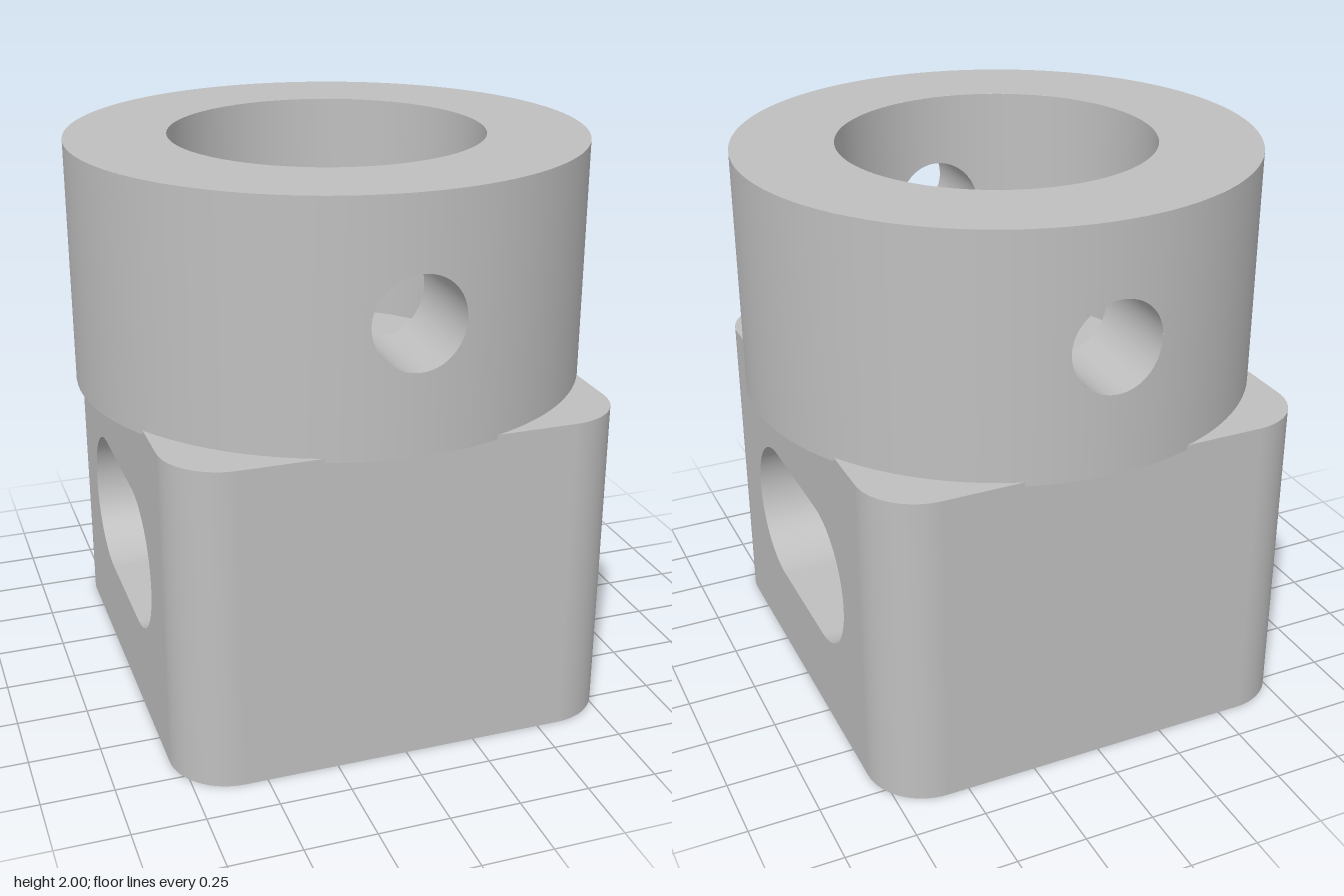
import * as THREE from 'three';

const HX = 0.79, HZ = 0.86, CORNER = 0.21, BASE_TOP = 1.155; // base block
const R = 0.91, BORE = 0.555, LOW = 1.14, TOP = 2; // collar
const PIN = 0.16, PIN_Y = 1.585; // cross hole
const SLOT_Y = 0.58, SLOT_HZ = 0.475, SLOT_R = 0.26;
const PATCH = 0.4; // half width of the wall patch around a cross hole

const grey = new THREE.MeshStandardMaterial({ color: 0xbfbfbf });
grey.name = 'plain grey';

function mesh(name, geometry) {
  const m = new THREE.Mesh(geometry, grey);
  m.name = name;
  return m;
}

// Grid surface from rows of { p, n }; triangles are turned to agree with n.
function surface(rows, skip = () => false) {
  const cols = rows[0].length, pos = [], nor = [], index = [];
  rows.flat().forEach(({ p, n }) => { pos.push(...p); nor.push(...n); });
  const vec = (a, i) => new THREE.Vector3().fromArray(a, i * 3);
  const tri = (a, b, c) => {
    const pa = vec(pos, a);
    const face = vec(pos, b).sub(pa).cross(vec(pos, c).sub(pa));
    const want = vec(nor, a).add(vec(nor, b)).add(vec(nor, c));
    index.push(...(face.dot(want) < 0 ? [a, c, b] : [a, b, c]));
  };
  for (let i = 0; i < rows.length - 1; i++) {
    for (let j = 0; j < cols - 1; j++) {
      if (skip(j)) continue;
      const a = i * cols + j, c = a + cols;
      tri(a, a + 1, c + 1);
      tri(a, c + 1, c);
    }
  }
  const g = new THREE.BufferGeometry();
  g.setAttribute('position', new THREE.Float32BufferAttribute(pos, 3));
  g.setAttribute('normal', new THREE.Float32BufferAttribute(nor, 3));
  g.setIndex(index);
  return g;
}

// Closed rounded rectangle with exact outward normals.
const ARC = 16;
function outline(hu, hv, r) {
  const pts = [];
  for (let q = 0; q < 4; q++) {
    const su = q === 0 || q === 3 ? 1 : -1, sv = q < 2 ? 1 : -1;
    for (let i = 0; i <= ARC; i++) {
      const a = (q + i / ARC) * Math.PI / 2, nu = Math.cos(a), nv = Math.sin(a);
      pts.push({ u: su * (hu - r) + r * nu, v: sv * (hv - r) + r * nv, nu, nv });
    }
  }
  pts.push(pts[0]);
  return pts;
}
const toVectors = (pts, dv = 0) => pts.slice(0, -1).map(p => new THREE.Vector2(p.u, p.v + dv));

function flat(shape, y, up) {
  return new THREE.ShapeGeometry(shape, 48).rotateX(up ? -Math.PI / 2 : Math.PI / 2).translate(0, y, 0);
}

function makeBase() {
  const base = new THREE.Group();
  base.name = 'base';
  const plan = outline(HX, HZ, CORNER);
  const slot = outline(SLOT_HZ, SLOT_R, SLOT_R);

  // Front, back and rounded corners; the straight sides are left for the slotted panels
  const open = [2 * (ARC + 1) - 1, 4 * (ARC + 1) - 1];
  const wall = [0, BASE_TOP].map(y => plan.map(o => ({ p: [o.u, y, o.v], n: [o.nu, 0, o.nv] })));
  base.add(mesh('baseWall', surface(wall, j => open.includes(j))));
  base.add(mesh('baseBottom', flat(new THREE.Shape(toVectors(plan)), 0, false)));

  // Side panels with the slot opening
  const w = HZ - CORNER;
  const panel = new THREE.Shape([[-w, 0], [w, 0], [w, BASE_TOP], [-w, BASE_TOP]].map(p => new THREE.Vector2(...p)));
  panel.holes.push(new THREE.Path(toVectors(slot, SLOT_Y)));
  for (const s of [1, -1]) {
    const g = new THREE.ShapeGeometry(panel).rotateY(s * Math.PI / 2).translate(s * HX, 0, 0);
    base.add(mesh(s > 0 ? 'leftPanel' : 'rightPanel', g));
  }

  // Slot running through from side to side
  const tunnel = [-HX, HX].map(x => slot.map(o => ({ p: [x, SLOT_Y + o.v, o.u], n: [0, -o.nv, -o.nu] })));
  base.add(mesh('slot', surface(tunnel)));

  // Exposed top corners outside the collar
  const a0 = Math.acos(HX / R), a1 = Math.asin(HZ / R);
  for (const sx of [1, -1]) for (const sz of [1, -1]) {
    const pts = plan.slice(0, ARC + 1).map(o => new THREE.Vector2(sx * o.u, sz * o.v));
    for (let i = 0; i <= 16; i++) {
      const a = a1 + (a0 - a1) * i / 16;
      pts.push(new THREE.Vector2(sx * R * Math.cos(a), sz * R * Math.sin(a)));
    }
    base.add(mesh('topCorner', flat(new THREE.Shape(pts), BASE_TOP, true)));
  }
  return base;
}

// Cylinder point at given x on the front half, with its normal
function onCylinder(radius, x, y, sign) {
  const z = Math.sqrt(radius * radius - x * x);
  return { p: [x, y, z], n: [sign * x / radius, 0, sign * z / radius] };
}

// Wall patch stretching from the round hole to a rectangle
function holePatch(radius, bottom, sign) {
  const corners = [[PATCH, bottom], [PATCH, TOP], [-PATCH, TOP], [-PATCH, bottom]];
  const rim = [];
  corners.forEach(([x, y], k) => {
    const [x2, y2] = corners[(k + 1) % 4];
    for (let i = 0; i < 20; i++) rim.push([x + (x2 - x) * i / 20, y + (y2 - y) * i / 20]);
  });
  rim.push(rim[0]);
  const rows = [];
  for (let i = 0; i <= 8; i++) {
    rows.push(rim.map(([x, y]) => {
      const a = Math.atan2(y - PIN_Y, x), t = i / 8;
      const hx = PIN * Math.cos(a), hy = PIN_Y + PIN * Math.sin(a);
      return onCylinder(radius, hx + (x - hx) * t, hy + (y - hy) * t, sign);
    }));
  }
  return surface(rows);
}

// Plain wall between the two patches, on the +x side
function plainWall(radius, bottom, sign) {
  const a0 = Math.asin(PATCH / radius), rows = [];
  for (const y of [bottom, TOP]) {
    const row = [];
    for (let i = 0; i <= 48; i++) {
      const a = a0 + (Math.PI - 2 * a0) * i / 48, s = Math.sin(a), c = Math.cos(a);
      row.push({ p: [radius * s, y, radius * c], n: [sign * s, 0, sign * c] });
    }
    rows.push(row);
  }
  return surface(rows);
}

function makeCollar() {
  const collar = new THREE.Group();
  collar.name = 'collar';

  // Each half carries one cross hole
  const tube = [BORE, R].map(radius => Array.from({ length: 65 }, (_, i) => {
    const a = i / 32 * Math.PI, c = Math.cos(a), s = Math.sin(a);
    return { p: onCylinder(radius, PIN * c, PIN_Y + PIN * s, 1).p, n: [-c, -s, 0] };
  }));
  for (const turn of [0, Math.PI]) {
    const half = new THREE.Group();
    half.name = turn ? 'backHalf' : 'frontHalf';
    half.rotation.y = turn;
    half.add(
      mesh('outerHolePatch', holePatch(R, LOW, 1)),
      mesh('outerWall', plainWall(R, LOW, 1)),
      mesh('boreHolePatch', holePatch(BORE, BASE_TOP, -1)),
      mesh('boreWall', plainWall(BORE, BASE_TOP, -1)),
      mesh('crossHole', surface(tube)),
    );
    collar.add(half);
  }

  // Top ring and bore floor
  collar.add(mesh('topRing', new THREE.RingGeometry(BORE, R, 128).rotateX(-Math.PI / 2).translate(0, TOP, 0)));
  collar.add(mesh('boreFloor', new THREE.CircleGeometry(BORE, 128).rotateX(-Math.PI / 2).translate(0, BASE_TOP, 0)));

  // Underside segments overhanging the base
  [HX, HZ, HX, HZ].forEach((d, k) => {
    const a = Math.acos(d / R), mid = k * Math.PI / 2;
    const shape = new THREE.Shape();
    shape.absarc(0, 0, R, mid - a, mid + a, false);
    collar.add(mesh('overhang', flat(shape, LOW, false)));
  });
  return collar;
}

export function createModel() {
  const model = new THREE.Group();
  model.name = 'shaftCoupling';
  model.add(makeBase(), makeCollar());
  return model;
}
